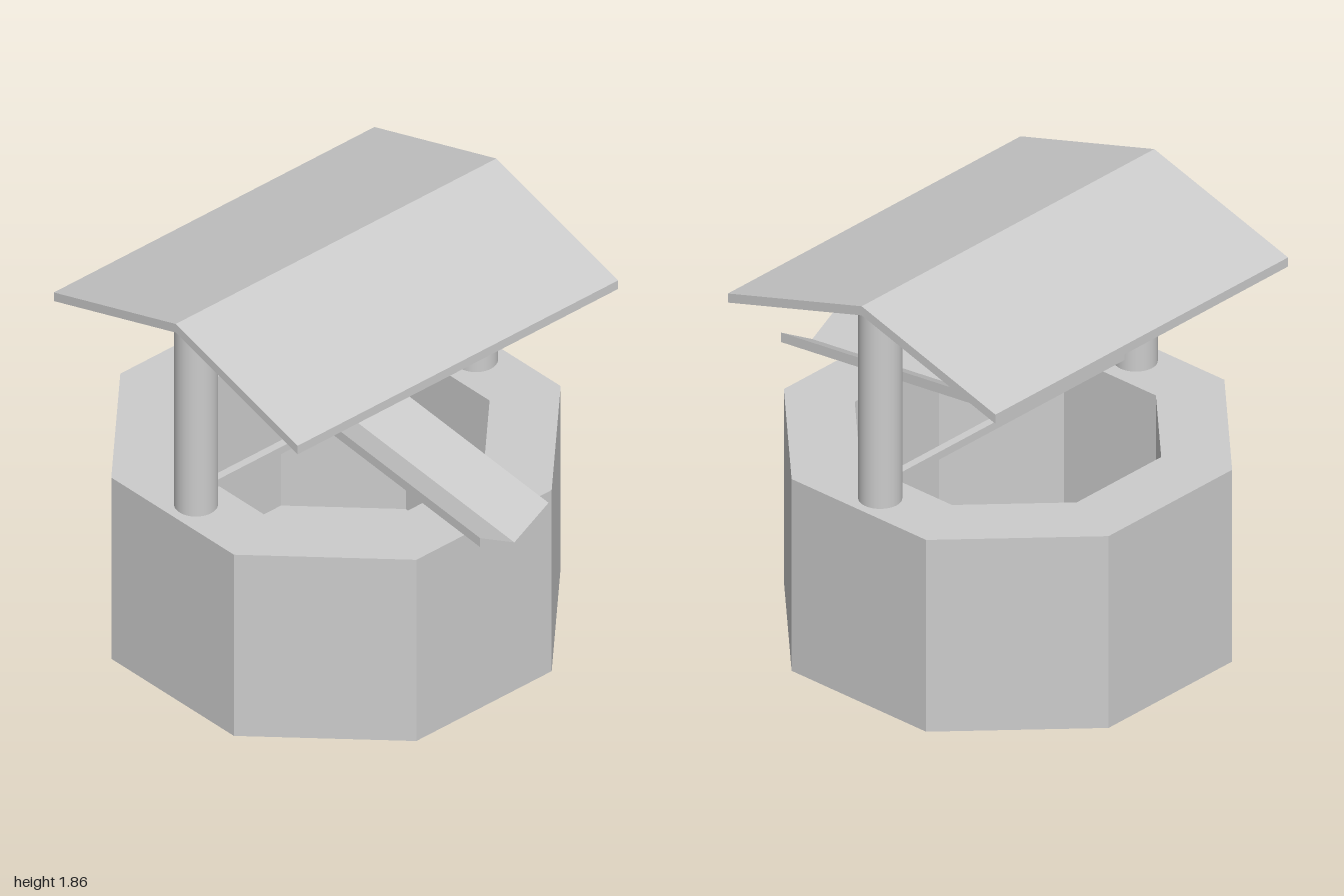
import * as THREE from 'three';

const CZ = -0.093; // depth of the well's axis
const material = new THREE.MeshStandardMaterial({ color: 0xcccccc, flatShading: true });
const smooth = new THREE.MeshStandardMaterial({ color: 0xcccccc });

function add(group, name, geometry, mat = material) {
  const mesh = new THREE.Mesh(geometry, mat);
  mesh.name = name;
  group.add(mesh);
  return mesh;
}

// Regular octagon with flat sides facing the axes
function octagon(PathType, apothem) {
  const r = apothem / Math.cos(Math.PI / 8);
  const points = [];
  for (let i = 0; i < 8; i++) {
    const a = (i + 0.5) * Math.PI / 4;
    points.push(new THREE.Vector2(r * Math.cos(a), r * Math.sin(a)));
  }
  return new PathType(points);
}

// Extrusion along y, from y0 to y1
function upright(shape, y0, y1) {
  const g = new THREE.ExtrudeGeometry(shape, { depth: y1 - y0, bevelEnabled: false });
  return g.rotateX(-Math.PI / 2).translate(0, y0, CZ);
}

// Bent sheet: half width, middle height, edge height, thickness, length
function bentSheet(half, mid, edge, t, length) {
  const shape = new THREE.Shape([
    [-half, edge], [0, mid], [half, edge],
    [half, edge + t], [0, mid + t], [-half, edge + t],
  ].map(([x, y]) => new THREE.Vector2(x, y)));
  return new THREE.ExtrudeGeometry(shape, { depth: length, bevelEnabled: false });
}

export function createModel() {
  const group = new THREE.Group();

  // Octagonal basin: floor and thick wall
  const floorTop = 0.1, rim = 0.907;
  const wall = octagon(THREE.Shape, 0.907);
  wall.holes.push(octagon(THREE.Path, 0.62));
  add(group, 'wellWall', upright(wall, 0, rim));
  add(group, 'wellFloor', upright(octagon(THREE.Shape, 0.62), 0, floorTop));

  // Round posts standing on the rim
  for (const side of [-1, 1]) {
    const post = add(group, side > 0 ? 'leftPost' : 'rightPost',
      new THREE.CylinderGeometry(0.091, 0.091, 1.8 - rim, 32), smooth);
    post.position.set(side * 0.777, (1.8 + rim) / 2, CZ);
  }

  // Crossbar between the posts
  add(group, 'crossbar', new THREE.BoxGeometry(1.39, 0.036, 0.036)).position.set(0, 0.972, CZ);

  // Gabled roof with its ridge along x
  const roof = bentSheet(0.747, 1.818, 1.592, 0.043, 1.78);
  roof.rotateY(Math.PI / 2).translate(-0.89, 0, CZ);
  add(group, 'roof', roof);

  // V-shaped spout, sheared so it slopes down to the front
  const back = -0.14, front = 1;
  const spout = bentSheet(0.19, 0.87, 0.98, 0.045, front - back).translate(0, 0, back);
  const p = spout.attributes.position;
  for (let i = 0; i < p.count; i++) p.setY(i, p.getY(i) + 0.11 * (front - p.getZ(i)));
  spout.computeVertexNormals();
  add(group, 'spout', spout);

  return group;
}
